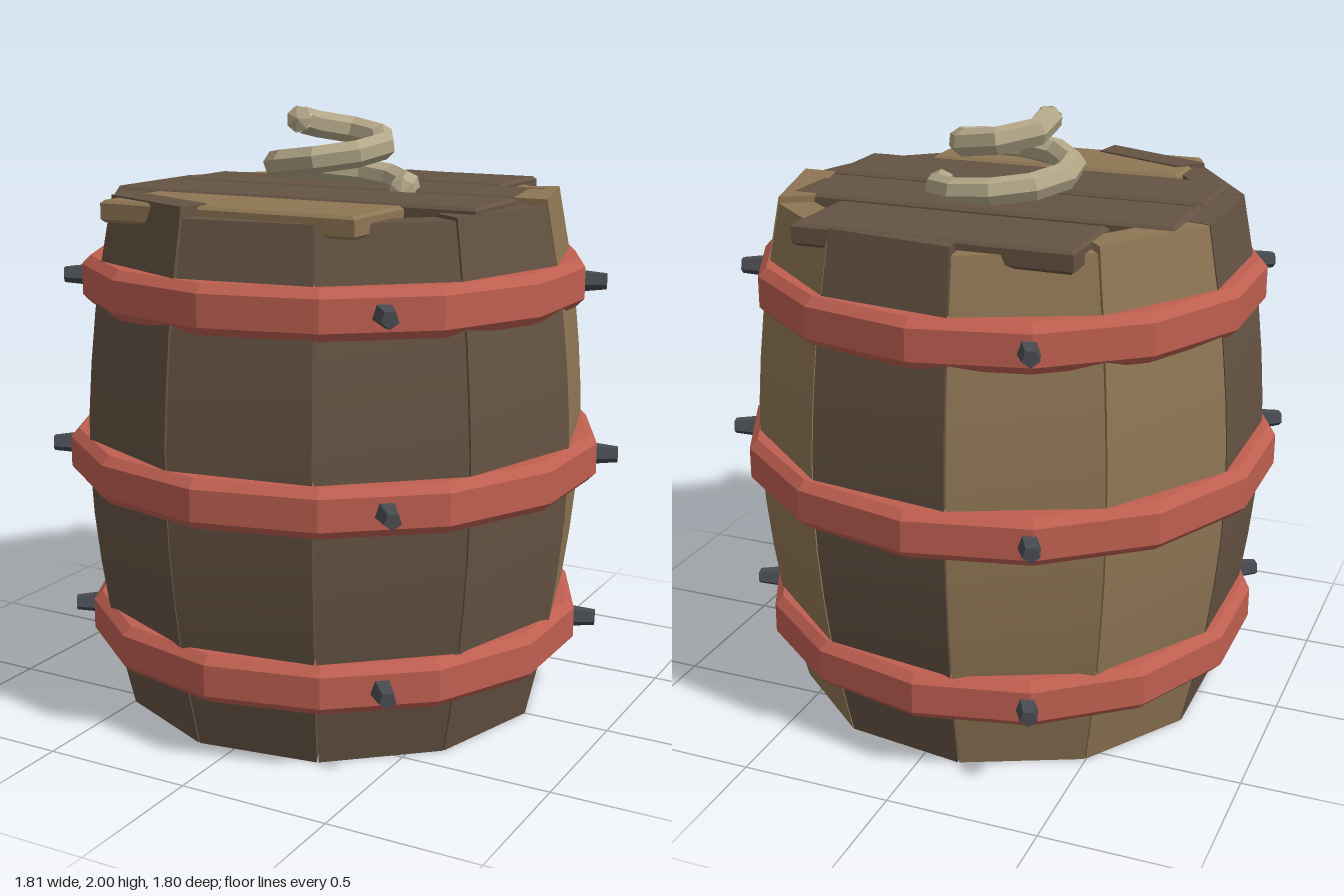
import * as THREE from 'three';
import { toCreasedNormals } from 'three/addons/utils/BufferGeometryUtils.js';

const CX = -0.02; // barrel axis
const mat = (color, flatShading = false) => new THREE.MeshStandardMaterial({ color, flatShading });

const darkWood = mat(0x655343);
const lightWood = mat(0x8f7654);
const hoopRed = mat(0xbf5f50, true);
const iron = mat(0x484b50, true);
const ropeTan = mat(0xb3a788, true);

// Distance from the axis to a stave's outer face at height y
const bulge = new THREE.CatmullRomCurve3(
  [[0.70, 0], [0.775, 0.36], [0.822, 0.86], [0.79, 1.36], [0.727, 1.73]].map(([r, y]) => new THREE.Vector3(r, y, 0))
);

const STAVES = 11;
const half = Math.PI / STAVES;

// A curved plank: a box whose rows follow the bulge and taper towards the axis
function staveGeometry(height) {
  const rows = 12;
  const geo = new THREE.BoxGeometry(1, 1, 1, 1, rows, 1);
  const pos = geo.attributes.position;
  for (let i = 0; i < pos.count; i++) {
    const p = bulge.getPoint(pos.getY(i) + 0.5);
    const r = pos.getZ(i) > 0 ? p.x : p.x - 0.11;
    const w = 2 * r * Math.tan(half) - 0.006;
    pos.setXYZ(i, pos.getX(i) * w, (p.y * height) / 1.73, r);
  }
  return toCreasedNormals(geo, 0.6);
}

// Solid chamfered band with fourteen sides
function hoopGeometry(r, h) {
  const c = 0.028;
  const pts = [[0, -h], [r - c, -h], [r, -h + c], [r, h - c], [r - c, h], [0, h]];
  return new THREE.LatheGeometry(pts.map(([x, y]) => new THREE.Vector2(x, y)), 14);
}

// Box with small chamfers along all long edges
function plankGeometry(w, h, d) {
  const b = 0.01;
  const s = new THREE.Shape();
  s.moveTo(-w / 2 + b, -d / 2 + b);
  s.lineTo(w / 2 - b, -d / 2 + b);
  s.lineTo(w / 2 - b, d / 2 - b);
  s.lineTo(-w / 2 + b, d / 2 - b);
  s.closePath();
  const geo = new THREE.ExtrudeGeometry(s, {
    depth: h - 2 * b, bevelEnabled: true, bevelThickness: b, bevelSize: b, bevelSegments: 1
  });
  geo.translate(0, 0, -h / 2 + b);
  return geo.rotateX(-Math.PI / 2);
}

export function createModel() {
  const model = new THREE.Group();
  model.name = 'barrel';
  const add = (name, geo, material, parent = model) => {
    const mesh = new THREE.Mesh(geo, material);
    mesh.name = name;
    parent.add(mesh);
    return mesh;
  };

  // Staves, with one seam on the +x side and slightly uneven tops
  const tops = [1.71, 1.70, 1.70, 1.735, 1.72, 1.72, 1.72, 1.70, 1.725, 1.71, 1.73];
  const pale = [7, 6, 9, 10];
  const staves = new THREE.Group();
  staves.name = 'staves';
  staves.position.x = CX;
  model.add(staves);
  tops.forEach((top, i) => {
    const stave = add('stave', staveGeometry(top), pale.includes(i) ? lightWood : darkWood, staves);
    stave.rotation.y = Math.PI / 2 - (2 * i + 1) * half;
  });

  // Hoops and their rivets
  const rivetAngles = [51, 149, -115, -17];
  for (const [y, r] of [[0.28, 0.843], [0.862, 0.9], [1.445, 0.843]]) {
    const hoop = new THREE.Group();
    hoop.name = 'hoop';
    hoop.position.set(CX, y, 0);
    model.add(hoop);
    add('hoopBand', hoopGeometry(r, 0.079), hoopRed, hoop);
    for (const deg of rivetAngles) {
      const geo = new THREE.CylinderGeometry(0.028, 0.042, 0.12, 5);
      geo.rotateX(Math.PI / 2).translate(0, 0, r + 0.005);
      add('rivet', geo, iron, hoop).rotation.y = Math.PI / 2 - THREE.MathUtils.degToRad(deg);
    }
  }

  // Lid planks: x from, x to, z from, z to
  const planks = [
    [-0.48, 0.42, -0.69, -0.37, darkWood],
    [-0.67, 0.62, -0.325, -0.03, darkWood],
    [-0.67, 0.64, 0.01, 0.325, darkWood],
    [-0.48, 0.42, 0.365, 0.68, lightWood]
  ];
  for (const [x0, x1, z0, z1, material] of planks) {
    add('lidPlank', plankGeometry(x1 - x0, 0.07, z1 - z0), material)
      .position.set((x0 + x1) / 2, 1.695, (z0 + z1) / 2);
  }

  // Coiled rope handle, rising and tightening from the lid
  const turns = 14;
  const path = new THREE.CurvePath();
  const pts = [];
  for (let i = 0; i <= turns; i++) {
    const t = i / turns;
    const a = -t * THREE.MathUtils.degToRad(565);
    const r = 0.245 - 0.12 * t;
    pts.push(new THREE.Vector3(CX + r * Math.cos(a), 1.725 + 0.23 * t, r * Math.sin(a) - 0.01));
  }
  for (let i = 0; i < turns; i++) path.add(new THREE.LineCurve3(pts[i], pts[i + 1]));
  const rope = new THREE.Group();
  rope.name = 'rope';
  model.add(rope);
  const curve = new THREE.CatmullRomCurve3(pts);
  add('ropeCoil', new THREE.TubeGeometry(curve, turns, 0.046, 7), ropeTan, rope);
  for (const [p, s] of [[0, -1], [1, 1]]) {
    const cap = add('ropeEnd', new THREE.ConeGeometry(0.046, 0.02, 7), ropeTan, rope);
    const dir = curve.getTangentAt(p).multiplyScalar(s);
    cap.position.copy(curve.getPointAt(p)).addScaledVector(dir, 0.008);
    cap.quaternion.setFromUnitVectors(new THREE.Vector3(0, 1, 0), dir);
  }

  return model;
}
